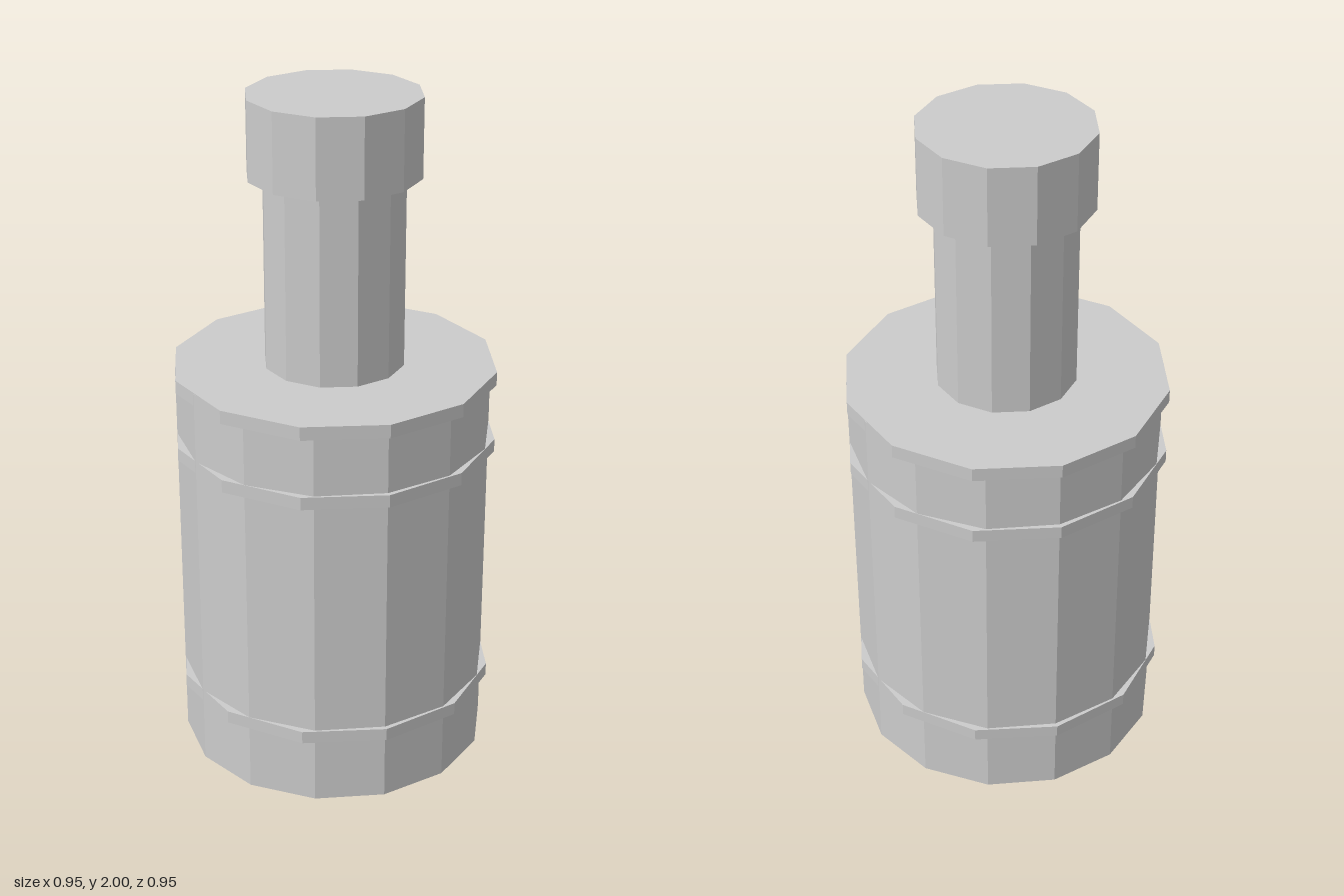
import * as THREE from 'three';

const material = new THREE.MeshStandardMaterial({ color: 0xcccccc, flatShading: true });

// Upright faceted cylinder from y0 to y1, with a corner facing the front
function prism(name, radius, y0, y1, sides) {
  const geometry = new THREE.CylinderGeometry(radius, radius, y1 - y0, sides);
  geometry.translate(0, (y0 + y1) / 2, 0);
  const mesh = new THREE.Mesh(geometry, material);
  mesh.name = name;
  return mesh;
}

export function createModel() {
  const model = new THREE.Group();
  model.name = 'cylinderWithHandle';

  // Main drum
  model.add(prism('body', 0.46, 0, 1.207, 14));

  // Thin bands around the drum; the top one also forms the lid
  const bands = [['lowerBand', 0.2, 0.238], ['upperBand', 0.96, 0.998], ['lidBand', 1.17, 1.21]];
  for (const [name, y0, y1] of bands) model.add(prism(name, 0.474, y0, y1, 12));

  // Handle stem and its wider end cap
  model.add(prism('handleStem', 0.205, 1.2, 1.78, 12));
  model.add(prism('handleCap', 0.25, 1.77, 2, 12));

  return model;
}
